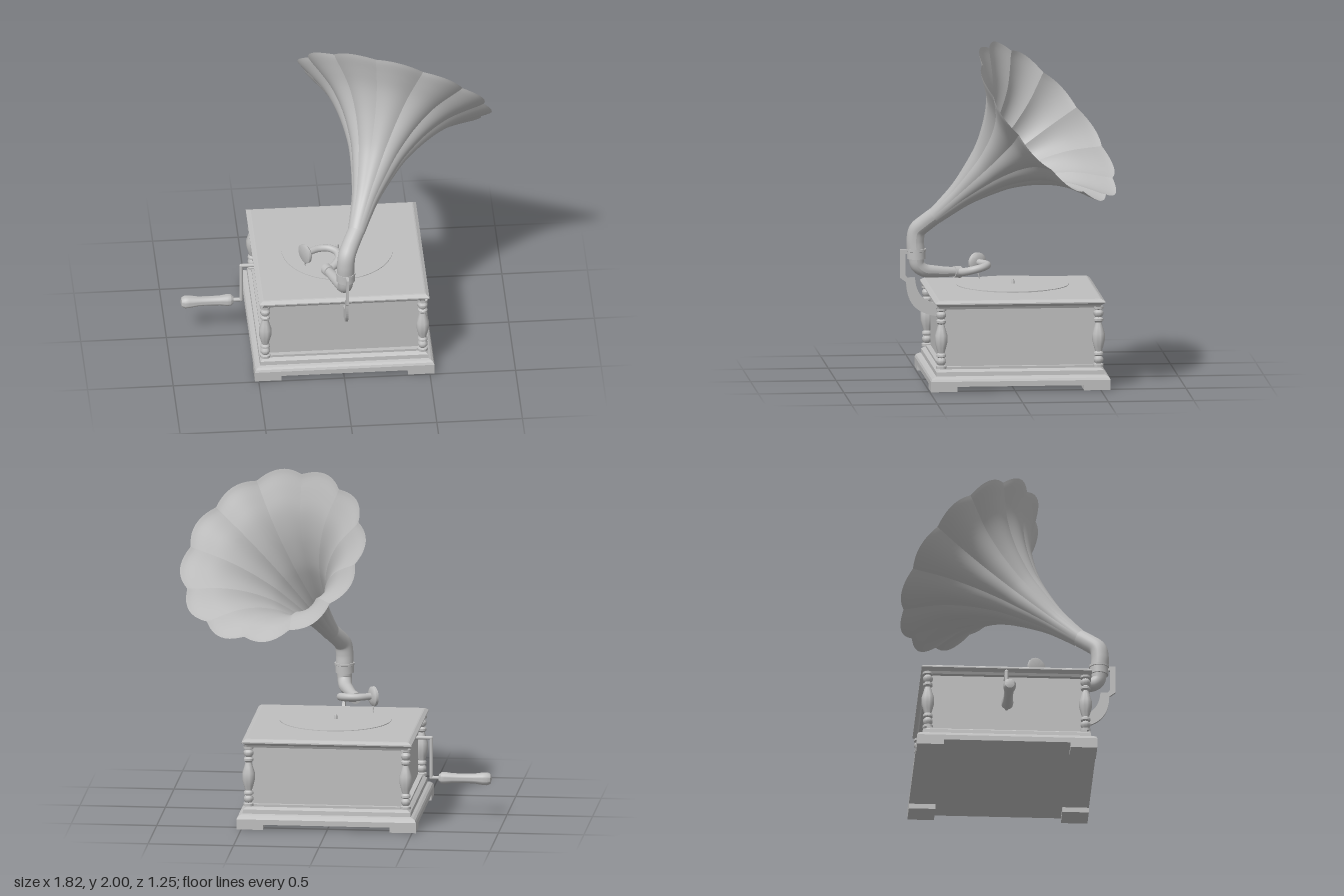
import * as THREE from 'three';
import { toCreasedNormals } from 'three/addons/utils/BufferGeometryUtils.js';

const V = (x, y, z) => new THREE.Vector3(x, y, z);
const pts = (list) => list.map(([x, y]) => new THREE.Vector2(x, y));

export function createModel() {
  const model = new THREE.Group();
  model.name = 'gramophone';
  const grey = new THREE.MeshStandardMaterial({ color: 0xbfbfbf });
  grey.name = 'plain grey';
  const greyThin = grey;
  greyThin.side = THREE.DoubleSide;

  const add = (parent, name, geometry) => {
    const mesh = new THREE.Mesh(geometry, grey);
    mesh.name = name;
    parent.add(mesh);
    return mesh;
  };
  // round turned part, profile as [radius, height] from bottom to top
  const turned = (profile, sides = 24) =>
    toCreasedNormals(new THREE.LatheGeometry(pts(profile), sides), 0.7);
  // square moulding, profile as [half width, height]
  const square = (profile) => {
    const g = new THREE.LatheGeometry(pts(profile.map(([r, y]) => [r * Math.SQRT2, y])), 4);
    const flat = g.rotateY(Math.PI / 4).toNonIndexed();
    flat.computeVertexNormals();
    return flat;
  };
  // straight rod between two points
  const rod = (parent, name, a, b, r0, r1 = r0) => {
    const d = b.clone().sub(a);
    const mesh = add(parent, name, new THREE.CylinderGeometry(r1, r0, d.length(), 20));
    mesh.position.copy(a).addScaledVector(d, 0.5);
    mesh.quaternion.setFromUnitVectors(V(0, 1, 0), d.normalize());
    return mesh;
  };
  // curved tube whose radius runs from r0 to r1
  const pipe = (parent, name, path, r0, r1) => {
    const curve = new THREE.CatmullRomCurve3(path);
    const seg = 40, sides = 20;
    const g = new THREE.TubeGeometry(curve, seg, 1, sides);
    const pos = g.attributes.position, p = V(0, 0, 0);
    for (let i = 0; i <= seg; i++) {
      const c = curve.getPointAt(i / seg), r = r0 + (r1 - r0) * (i / seg);
      for (let j = 0; j <= sides; j++) {
        const k = i * (sides + 1) + j;
        p.fromBufferAttribute(pos, k).sub(c).multiplyScalar(r).add(c);
        pos.setXYZ(k, p.x, p.y, p.z);
      }
    }
    g.computeVertexNormals();
    return add(parent, name, g);
  };

  // ---- cabinet ----
  const cabinet = new THREE.Group();
  cabinet.name = 'cabinet';
  cabinet.position.set(0.003, 0, -0.032);
  model.add(cabinet);
  add(cabinet, 'plinth', square([[0, 0.03], [0.525, 0.03], [0.525, 0.06], [0.519, 0.073],
    [0.507, 0.082], [0.492, 0.088], [0.49, 0.112], [0.478, 0.12], [0.468, 0.126], [0.468, 0.14], [0, 0.14]]));
  add(cabinet, 'body', square([[0.44, 0.13], [0.44, 0.485]]));
  add(cabinet, 'lid', square([[0, 0.478], [0.468, 0.478], [0.475, 0.492], [0.485, 0.5], [0.497, 0.508],
    [0.497, 0.515], [0.478, 0.528], [0.47, 0.53], [0, 0.53]]));
  const column = turned([[0.03, 0.13], [0.03, 0.145], [0.018, 0.15], [0.028, 0.165], [0.028, 0.18],
    [0.018, 0.193], [0.028, 0.2], [0.028, 0.212], [0.02, 0.222], [0.028, 0.25], [0.037, 0.285],
    [0.037, 0.325], [0.026, 0.36], [0.018, 0.39], [0.028, 0.4], [0.028, 0.412], [0.018, 0.422],
    [0.029, 0.437], [0.029, 0.452], [0.018, 0.466], [0.03, 0.472], [0.03, 0.485]]);
  for (const sx of [-1, 1]) for (const sz of [-1, 1]) {
    add(cabinet, 'foot', new THREE.BoxGeometry(0.155, 0.032, 0.155))
      .position.set(sx * 0.4475, 0.016, sz * 0.4475);
    add(cabinet, 'cornerColumn', column).position.set(sx * 0.46, 0, sz * 0.46);
  }

  // ---- turntable ----
  const turntable = new THREE.Group();
  turntable.name = 'turntable';
  turntable.position.set(0, 0, -0.032);
  model.add(turntable);
  add(turntable, 'platter', new THREE.CylinderGeometry(0.28, 0.28, 0.01, 64)).position.y = 0.548;
  add(turntable, 'record', new THREE.CylinderGeometry(0.327, 0.327, 0.004, 64)).position.y = 0.555;
  add(turntable, 'spindle', turned([[0.01, 0.525], [0.01, 0.575], [0.006, 0.584], [0, 0.585]], 16));

  // ---- crank ----
  const crank = new THREE.Group();
  crank.name = 'crank';
  crank.position.z = -0.038;
  model.add(crank);
  const bends = [V(-0.42, 0.457, 0), V(-0.56, 0.457, 0), V(-0.56, 0.22, 0), V(-0.63, 0.22, 0)];
  for (let i = 0; i < 3; i++) rod(crank, 'crankRod', bends[i], bends[i + 1], 0.011);
  for (const i of [1, 2]) add(crank, 'crankCorner', new THREE.SphereGeometry(0.0115, 16, 10)).position.copy(bends[i]);
  const grip = add(crank, 'crankHandle', turned([[0, 0], [0.02, 0.002], [0.034, 0.018], [0.035, 0.04],
    [0.029, 0.08], [0.027, 0.15], [0.029, 0.21], [0.037, 0.26], [0.038, 0.285], [0.028, 0.305], [0, 0.313]]));
  grip.rotation.z = Math.PI / 2;
  grip.position.set(-0.603, 0.22, 0);

  // ---- bracket that carries the horn ----
  const b = new THREE.Shape();
  b.moveTo(0.628, 0.768);
  b.lineTo(0.628, 0.602);
  b.lineTo(0.592, 0.575);
  b.bezierCurveTo(0.59, 0.44, 0.52, 0.385, 0.4, 0.372);
  b.lineTo(0.4, 0.45);
  b.bezierCurveTo(0.48, 0.45, 0.535, 0.5, 0.54, 0.6);
  b.lineTo(0.585, 0.602);
  b.lineTo(0.597, 0.62);
  b.lineTo(0.597, 0.74);
  b.lineTo(0.57, 0.745);
  b.lineTo(0.57, 0.768);
  const bracket = add(model, 'bracket', new THREE.ExtrudeGeometry(b, { depth: 0.016, bevelEnabled: false, curveSegments: 16 }));
  bracket.rotation.y = -Math.PI / 2;
  bracket.position.x = 0.018;

  // ---- collar, elbow and tone arm ----
  const toneArm = new THREE.Group();
  toneArm.name = 'toneArm';
  model.add(toneArm);
  add(toneArm, 'collar', turned([[0, 0.712], [0.054, 0.712], [0.054, 0.755], [0.058, 0.757],
    [0.058, 0.77], [0, 0.77]])).position.set(0.005, 0, 0.532);
  pipe(toneArm, 'elbow', [V(0.005, 0.76, 0.535), V(0.005, 0.82, 0.538), V(0.012, 0.88, 0.527),
    V(0.04, 0.93, 0.478), V(0.08, 0.985, 0.415)], 0.052, 0.05);
  pipe(toneArm, 'armPipe', [V(0.005, 0.72, 0.532), V(0.004, 0.675, 0.525), V(-0.004, 0.643, 0.49),
    V(-0.03, 0.63, 0.42), V(-0.08, 0.618, 0.285)], 0.045, 0.026);
  rod(toneArm, 'armJoint', V(-0.072, 0.62, 0.305), V(-0.088, 0.616, 0.265), 0.034);
  pipe(toneArm, 'gooseNeck', [V(-0.085, 0.617, 0.275), V(-0.045, 0.622, 0.25), V(-0.01, 0.637, 0.2),
    V(-0.015, 0.65, 0.145), V(-0.06, 0.656, 0.112), V(-0.12, 0.656, 0.112), V(-0.185, 0.656, 0.147)], 0.024, 0.02);
  // round sound box with its needle
  const axis = V(-0.86, 0, 0.5).normalize();
  const box = add(toneArm, 'soundBox', turned([[0, -0.018], [0.03, -0.016], [0.052, -0.01], [0.058, -0.004],
    [0.058, 0.01], [0.048, 0.014], [0, 0.014]], 32));
  box.quaternion.setFromUnitVectors(V(0, 1, 0), axis);
  box.position.set(-0.2, 0.655, 0.155);
  rod(toneArm, 'needle', V(-0.203, 0.615, 0.157), V(-0.2, 0.56, 0.143), 0.007, 0.002);

  // ---- flower horn: twelve bulging petals with creases between ----
  const profile = new THREE.CatmullRomCurve3([[0.05, 0], [0.062, 0.1], [0.082, 0.22], [0.137, 0.4],
    [0.178, 0.5], [0.257, 0.63], [0.33, 0.72], [0.4, 0.785], [0.49, 0.845], [0.56, 0.887], [0.585, 0.905]]
    .map(([r, h]) => V(r, h, 0)));
  const rows = 36, cols = 10, petals = 12;
  const verts = [], index = [];
  for (let p = 0; p < petals; p++) {
    const start = verts.length / 3;
    for (let i = 0; i <= rows; i++) {
      const t = i / rows, q = profile.getPoint(t);
      for (let j = 0; j <= cols; j++) {
        const s = j / cols;
        const a = ((p + 0.5 + s) * 2 * Math.PI) / petals;
        const r = q.x * (1 - 0.065 * Math.min(1, t * 2) * (1 - Math.sin(Math.PI * s)));
        verts.push(r * Math.cos(a), q.y, -r * Math.sin(a));
        if (i < rows && j < cols) {
          const k = start + i * (cols + 1) + j, n = k + cols + 1;
          index.push(k, k + 1, n, k + 1, n + 1, n);
        }
      }
    }
  }
  const hornGeo = new THREE.BufferGeometry();
  hornGeo.setAttribute('position', new THREE.Float32BufferAttribute(verts, 3));
  hornGeo.setIndex(index);
  hornGeo.computeVertexNormals();
  const horn = add(model, 'horn', hornGeo);
  const out = V(0.305, 0.649, -0.697).normalize();
  const side = V(1, 0, 0).addScaledVector(out, -out.x).normalize();
  horn.quaternion.setFromRotationMatrix(
    new THREE.Matrix4().makeBasis(side, out, side.clone().cross(out)));
  horn.position.set(0.074, 0.973, 0.426);

  return model;
}
